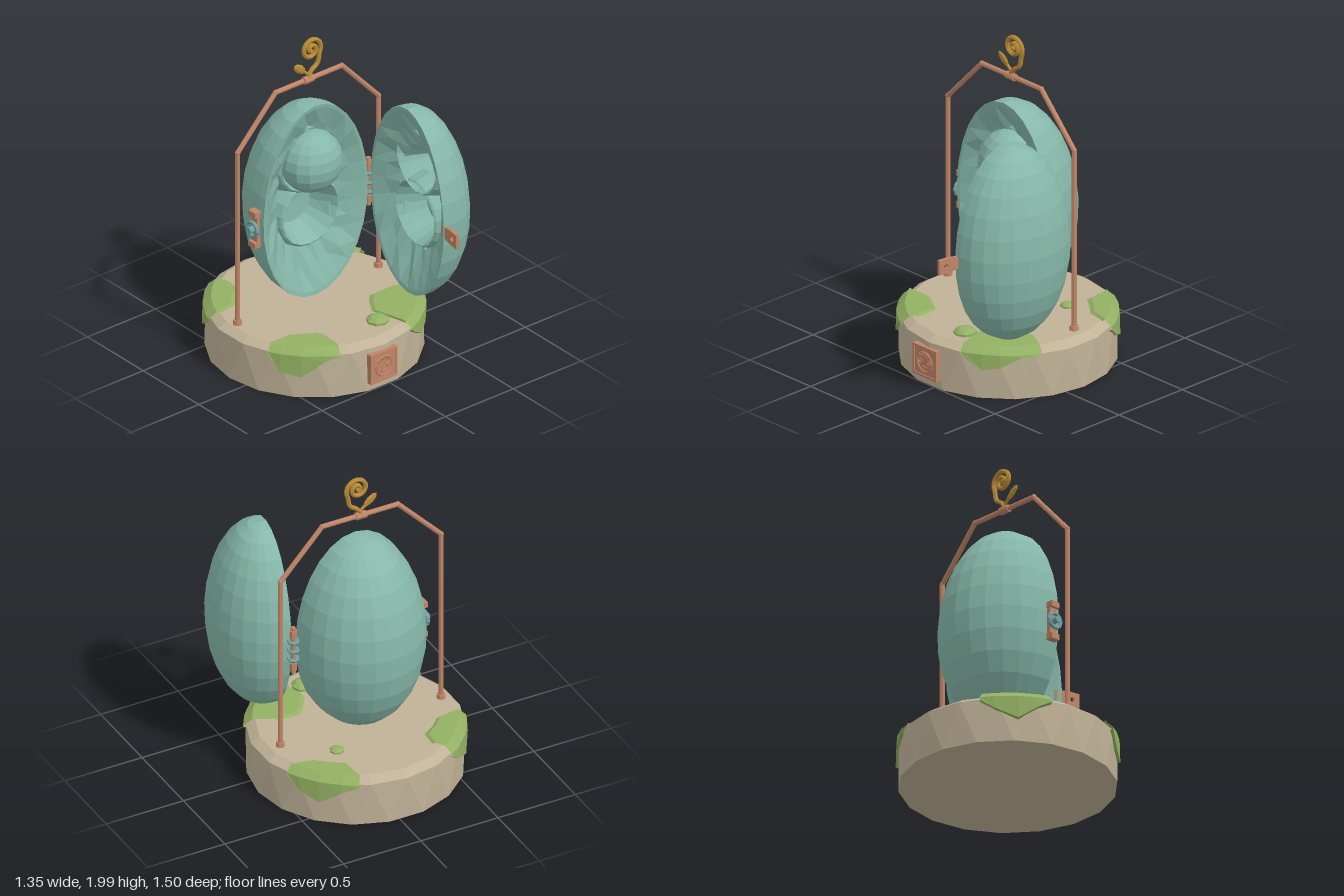
import * as THREE from 'three';

const mat = (name, color, side = THREE.FrontSide) => {
  const m = new THREE.MeshStandardMaterial({ color, flatShading: true, side });
  m.name = name;
  return m;
};
const M = {
  teal: mat('teal shell', 0x86b8a9, THREE.DoubleSide),
  stone: mat('stone', 0xc0b297),
  moss: mat('moss', 0x93b163, THREE.DoubleSide),
  copper: mat('copper', 0xc08567),
  gold: mat('gold', 0xb98a35),
  fitting: mat('blue fitting', 0x6fa3a3),
};
const V = (x, y, z) => new THREE.Vector3(x, y, z);
const RAD = Math.PI / 180;

function add(parent, name, geo, material, x = 0, y = 0, z = 0) {
  const mesh = new THREE.Mesh(geo, material);
  mesh.name = name;
  mesh.position.set(x, y, z);
  parent.add(mesh);
  return mesh;
}
const lathe = (pts, n) => new THREE.LatheGeometry(pts.map(p => new THREE.Vector2(...p)), n);
// straight rod between two points
function rod(parent, name, a, b, r, material) {
  const m = add(parent, name, new THREE.CylinderGeometry(r, r, a.distanceTo(b), 8), material);
  m.position.copy(a).add(b).multiplyScalar(0.5);
  m.quaternion.setFromUnitVectors(V(0, 1, 0), b.clone().sub(a).normalize());
  return m;
}
// triangle surface through a list of equally long rows of points
function loft(rows, closed) {
  const n = rows[0].length, idx = [];
  for (let i = 0; i < rows.length - 1; i++)
    for (let j = 0; j < (closed ? n : n - 1); j++) {
      const k = (j + 1) % n, a = i * n + j, b = i * n + k, c = a + n, d = b + n;
      idx.push(a, b, c, b, d, c);
    }
  const g = new THREE.BufferGeometry();
  g.setAttribute('position', new THREE.Float32BufferAttribute(rows.flat().flatMap(p => p.toArray()), 3));
  g.setIndex(idx);
  g.computeVertexNormals();
  return g;
}

// Half of the egg: opening faces +z, rim at z = 0, bulge towards -z
function eggHalf(name, depth, side) {
  const g = new THREE.Group();
  g.name = name;
  const RX = 0.385, RY = 0.622, BAND = 0.045, N = 28;
  const taper = y => 1 - 0.05 * y;

  const dome = new THREE.SphereGeometry(1, 12, N / 2, Math.PI, Math.PI);
  const p = dome.attributes.position;
  for (let i = 0; i < p.count; i++) {
    const t = taper(p.getY(i));
    p.setXYZ(i, p.getX(i) * RX * t, p.getY(i) * RY, p.getZ(i) * (depth - BAND) * t - BAND);
  }
  add(g, 'eggShell', dome, M.teal);

  // straight rim followed by a ragged hollow: [scale, z, raggedness]
  const rings = [[1, -BAND, 0], [1, 0, 0], [0.96, -0.004, 0], [0.77, -0.05, 0.035], [0.55, -0.1, 0.02], [0.4, -0.28, 0], [0.001, -0.28, 0]];
  const rows = rings.map(([s, z, rag]) => Array.from({ length: N }, (_, j) => {
    const a = j / N * Math.PI * 2, y = Math.sin(a);
    const w = rag * Math.sin(j * 2.4 + s * 9), q = s + w;
    return V(Math.cos(a) * RX * taper(y) * q, y * RY * q, z + w * 0.6);
  }));
  add(g, 'eggHollow', loft(rows, true), M.teal);

  // round sockets
  const cup = lathe([[0, -0.23], [0.13, -0.22], [0.165, -0.14], [0.188, -0.085], [0.203, -0.055], [0.215, -0.065], [0.25, -0.16]], 18);
  cup.rotateX(Math.PI / 2);
  add(g, 'lowerSocket', cup, M.teal, 0.015 * side, -0.115, -0.01);
  add(g, 'upperSocket', cup, M.teal, 0, 0.245, -0.005);
  return g;
}

// Moss draped over the base edge: columns of [angle, inner radius, lower edge]
function mossPatch(parent, cols) {
  const rows = cols.map(([deg, ri, yb]) => {
    const c = Math.cos(deg * RAD), s = Math.sin(deg * RAD);
    return [[ri, 0.302], [Math.min(ri + 0.03, 0.6), 0.318], [0.59, 0.318], [0.638, 0.276], [0.642, yb], [0.615, yb - 0.01]]
      .map(([r, y]) => V(r * c, y, r * s));
  });
  add(parent, 'mossPatch', loft(rows, false), M.moss);
}

export function createModel() {
  const root = new THREE.Group();
  root.name = 'eggLantern';

  // Stone base
  const base = new THREE.Group();
  base.name = 'base';
  base.position.set(-0.045, 0, -0.125);
  root.add(base);
  const stone = lathe([[0, 0], [0.628, 0], [0.628, 0.27], [0.575, 0.305], [0, 0.305]], 18);
  const sp = stone.attributes.position;
  for (let i = 0; i < sp.count; i++) {
    if (sp.getY(i) > 0.01) continue;
    const x = sp.getX(i), z = sp.getZ(i), c = Math.cos(10 * RAD), s = Math.sin(10 * RAD);
    sp.setXYZ(i, x * c - z * s, 0, x * s + z * c);
  }
  add(base, 'stoneBase', stone, M.stone);

  mossPatch(base, [[200, 0.58, 0.26], [207, 0.46, 0.22], [218, 0.44, 0.14], [230, 0.42, 0.2], [238, 0.5, 0.26]]);
  mossPatch(base, [[-64, 0.6, 0.26], [-55, 0.45, 0.22], [-43, 0.46, 0.14], [-32, 0.48, 0.19], [-24, 0.58, 0.26]]);
  mossPatch(base, [[116, 0.54, 0.27], [124, 0.41, 0.24], [136, 0.42, 0.14], [147, 0.45, 0.16], [154, 0.57, 0.26]]);
  mossPatch(base, [[26, 0.43, 0.27], [37, 0.31, 0.26], [48, 0.31, 0.2], [57, 0.33, 0.18], [66, 0.36, 0.24], [69, 0.6, 0.27]]);
  for (const [x, z, r] of [[0.06, 0.315, 0.07], [0.2, -0.36, 0.045]]) {
    const clump = add(root, 'mossClump', new THREE.SphereGeometry(r, 8, 5), M.moss, x, 0.308, z);
    clump.scale.y = 0.5;
  }

  // Plaque with a simple round face in relief
  const plaque = new THREE.Group();
  plaque.name = 'plaque';
  plaque.position.set(-0.06, 0.145, 0.502);
  root.add(plaque);
  add(plaque, 'plaquePlate', new THREE.BoxGeometry(0.175, 0.175, 0.03), M.copper);
  for (const s of [-1, 1]) {
    add(plaque, 'plaqueFrame', new THREE.BoxGeometry(0.195, 0.014, 0.042), M.copper, 0, s * 0.088, 0);
    add(plaque, 'plaqueFrame', new THREE.BoxGeometry(0.014, 0.17, 0.042), M.copper, s * 0.09, 0, 0);
    add(plaque, 'plaqueEye', new THREE.TorusGeometry(0.012, 0.004, 5, 8), M.copper, s * 0.034, 0, 0.017);
  }
  add(plaque, 'plaqueRing', new THREE.TorusGeometry(0.06, 0.006, 5, 16), M.copper, 0, 0, 0.016);
  add(plaque, 'plaqueMouth', new THREE.BoxGeometry(0.03, 0.008, 0.01), M.copper, 0, -0.03, 0.018);
  for (let i = -2; i <= 2; i++) {
    const tooth = add(plaque, 'plaqueFringe', new THREE.ConeGeometry(0.01, 0.03, 4), M.copper, i * 0.019, 0.042 - Math.abs(i) * 0.005, 0.016);
    tooth.rotation.z = Math.PI;
  }

  // Copper frame
  const frame = new THREE.Group();
  frame.name = 'frame';
  frame.position.set(-0.06, 0, -0.163);
  root.add(frame);
  const path = [V(-0.52, 0.3, 0), V(-0.52, 1.43, 0), V(-0.24, 1.725, 0), V(0.25, 1.725, 0), V(0.52, 1.43, 0), V(0.52, 0.3, 0)];
  path.slice(1).forEach((b, i) => rod(frame, 'frameBar', path[i], b, 0.015, M.copper));
  path.slice(1, 5).forEach(q => add(frame, 'frameJoint', new THREE.SphereGeometry(0.0165, 8, 6), M.copper, q.x, q.y, 0));
  for (const s of [-1, 1]) add(frame, 'frameFoot', new THREE.CylinderGeometry(0.024, 0.028, 0.035, 8), M.copper, s * 0.52, 0.315, 0);
  rod(frame, 'frameCollar', V(-0.034, 1.725, 0), V(0.034, 1.725, 0), 0.023, M.copper);

  // Golden curled sprout
  const curl = [V(0, 1.74, 0), V(0.025, 1.775, 0), V(0.07, 1.81, 0)];
  for (let i = 0; i <= 20; i++) {
    const a = -0.6 + i * 0.56, r = 0.075 - i * 0.0033;
    curl.push(V(0.022 + r * Math.cos(a), 1.912 + r * Math.sin(a), 0));
  }
  add(frame, 'sproutCurl', new THREE.TubeGeometry(new THREE.CatmullRomCurve3(curl), 80, 0.014, 6), M.gold);
  add(frame, 'sproutTip', new THREE.SphereGeometry(0.016, 6, 5), M.gold, curl.at(-1).x, curl.at(-1).y, 0);
  const leaf = add(frame, 'sproutLeaf', new THREE.SphereGeometry(1, 6, 4), M.gold, -0.062, 1.813, 0);
  leaf.scale.set(0.027, 0.053, 0.012);
  leaf.rotation.z = 50 * RAD;
  rod(frame, 'leafStem', V(-0.035, 1.79, 0), V(0.005, 1.755, 0), 0.009, M.gold);

  // Standing egg half with its ball
  const back = eggHalf('eggBack', 0.45, 1);
  back.position.set(-0.055, 0.955, -0.1);
  root.add(back);
  const ball = add(back, 'ball', new THREE.SphereGeometry(0.19, 14, 10), M.teal, 0, 0.245, -0.04);
  ball.scale.z = 0.9;

  // Opened egg half
  const door = eggHalf('eggDoor', 0.345, -1);
  door.position.set(0.33, 0.968, 0.253);
  door.scale.set(0.96, 0.965, 1);
  door.rotation.y = -95 * RAD;
  root.add(door);

  // Pierced clasp tab at the free edge of the door
  const tab = new THREE.Shape();
  tab.moveTo(-0.03, -0.03).lineTo(0.06, -0.045).lineTo(0.14, -0.045).lineTo(0.14, 0.045).lineTo(0.06, 0.045).lineTo(-0.03, 0.03);
  const hole = new THREE.Path();
  hole.absarc(0.09, 0, 0.015, 0, Math.PI * 2, true);
  tab.holes.push(hole);
  const tabGeo = new THREE.ExtrudeGeometry(tab, { depth: 0.02, bevelEnabled: false, curveSegments: 6 });
  tabGeo.translate(0, 0, -0.01);
  const clasp = add(root, 'claspTab', tabGeo, M.copper, 0.316, 0.928, 0.612);
  clasp.rotation.y = -99 * RAD;

  // Clasp plate and turning knob on the far side of the standing half
  const lock = new THREE.Group();
  lock.name = 'claspLock';
  lock.position.set(-0.452, 0.89, -0.16);
  root.add(lock);
  add(lock, 'claspPlate', new THREE.BoxGeometry(0.025, 0.2, 0.05), M.copper, 0.005);
  for (const s of [-1, 1]) add(lock, 'claspEnd', new THREE.BoxGeometry(0.045, 0.035, 0.06), M.copper, -0.005, s * 0.1, 0);
  add(lock, 'claspRing', new THREE.TorusGeometry(0.045, 0.012, 6, 10), M.fitting, -0.02).rotation.y = Math.PI / 2;
  add(lock, 'claspKnob', new THREE.CylinderGeometry(0.02, 0.02, 0.05, 8), M.fitting, -0.025).rotation.z = Math.PI / 2;

  // Hinge between the two halves
  const hinge = new THREE.Group();
  hinge.name = 'hinge';
  hinge.position.set(0.362, 0.915, -0.135);
  root.add(hinge);
  rod(hinge, 'hingePin', V(0, -0.155, 0), V(0, 0.155, 0), 0.015, M.copper);
  for (const y of [-0.11, 0.11]) add(hinge, 'hingeKnuckle', new THREE.CylinderGeometry(0.023, 0.023, 0.05, 8), M.copper, 0, y, 0);
  for (const y of [-0.06, 0, 0.06]) {
    add(hinge, 'hingeLoop', new THREE.TorusGeometry(0.026, 0.011, 6, 10), M.fitting, 0, y, 0).rotation.x = Math.PI / 2;
    add(hinge, 'hingeArm', new THREE.BoxGeometry(0.05, 0.02, 0.02), M.fitting, -0.035, y, 0);
  }
  return root;
}
